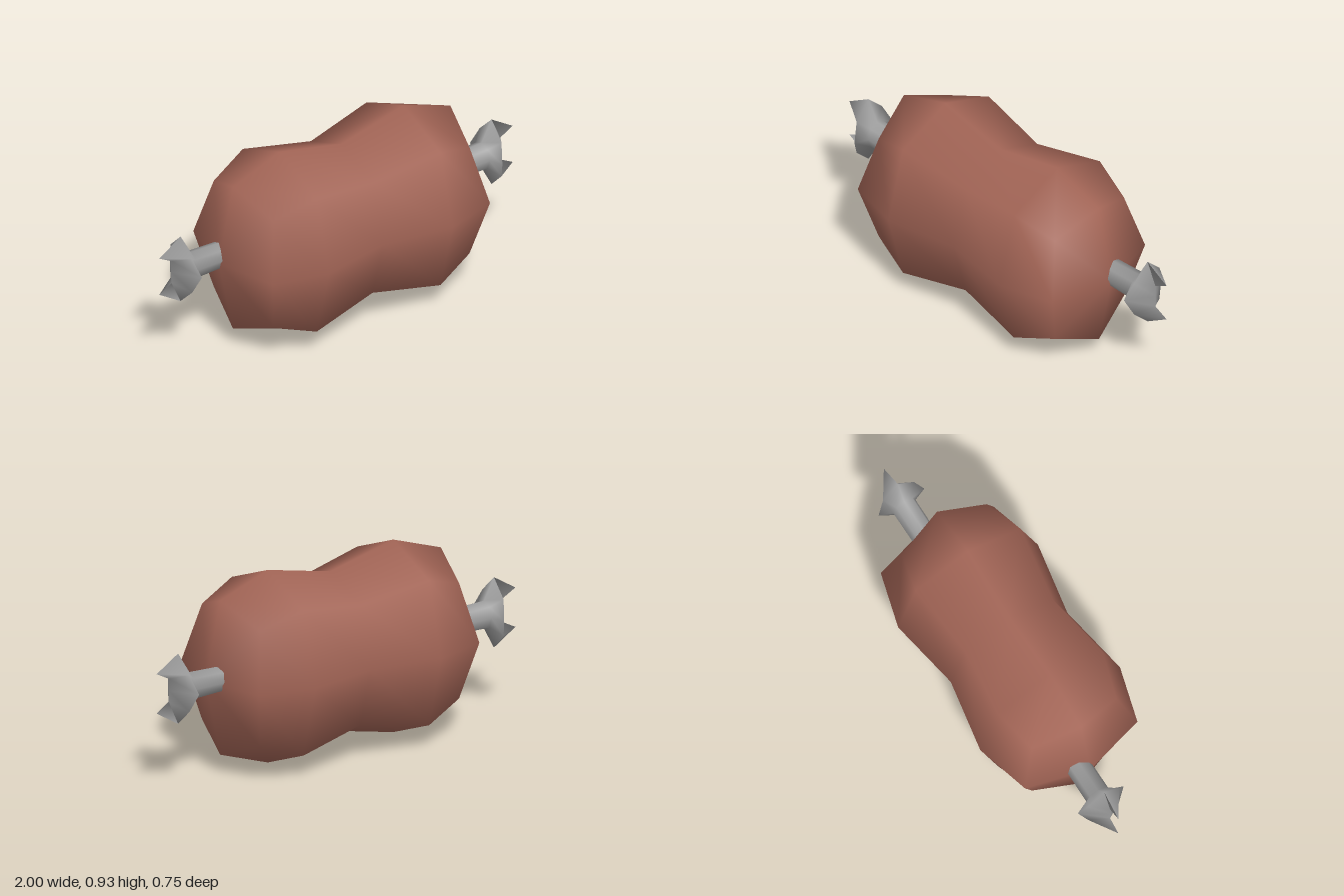
import * as THREE from 'three';
import { mergeVertices } from 'three/addons/utils/BufferGeometryUtils.js';

// Eight-sided ring around the x axis: top [x, y], diagonal [x, y, z], side [x, z]
function ring([tx, ty], [dx, dy, dz], [sx, sz]) {
  return [
    [tx, ty, 0], [dx, dy, dz], [sx, 0, sz], [dx, -dy, dz],
    [tx, -ty, 0], [dx, -dy, -dz], [sx, 0, -sz], [dx, dy, -dz],
  ];
}

const evenRing = (x, ry, rz, diagonal = 0.75, diagonalX = x) =>
  ring([x, ry], [diagonalX, ry * diagonal, rz * diagonal], [x, rz]);

// Adds the mirrored half so that the rings run from -x to +x
function mirrored(half, middle = []) {
  const other = half.map((r) => r.map(([x, y, z]) => [-x, y, z])).reverse();
  return [...other, ...middle, ...half];
}

// Smooth skin over a sequence of rings
function loft(rings) {
  const index = [];
  for (let i = 0; i < rings.length - 1; i++) {
    for (let k = 0; k < 8; k++) {
      const n = (k + 1) % 8;
      const a = i * 8 + k, b = i * 8 + n, c = b + 8, d = a + 8;
      index.push(a, b, c, a, c, d);
    }
  }
  const geometry = new THREE.BufferGeometry();
  geometry.setAttribute('position', new THREE.Float32BufferAttribute(rings.flat(2), 3));
  geometry.setIndex(index);
  const merged = mergeVertices(geometry, 1e-4);
  merged.computeVertexNormals();
  return merged;
}

export function createModel() {
  const group = new THREE.Group();
  const meat = new THREE.MeshStandardMaterial({ color: 0xa36556 });
  meat.name = 'meat brown';
  const grey = new THREE.MeshStandardMaterial({ color: 0x9c9c9c });
  grey.name = 'bone grey';

  // Waisted chunk of meat with blunt pointed ends
  const body = new THREE.Mesh(loft(mirrored([
    evenRing(0.35, 0.465, 0.375),
    evenRing(0.615, 0.372, 0.302, 0.75, 0.555),
    evenRing(0.695, 0, 0),
  ], [evenRing(0, 0.385, 0.313)])), meat);
  body.name = 'meat';
  body.position.y = 0.465;
  group.add(body);

  // Bone through the meat, with a two-knobbed head at each end
  const bone = new THREE.Mesh(loft(mirrored([
    evenRing(0.6, 0.058, 0.058, 0.72),
    evenRing(0.825, 0.068, 0.06, 0.72),
    ring([0.88, 0.17], [0.875, 0.088, 0.083], [0.85, 0.123]),
    ring([1.0, 0.095], [0.93, 0.058, 0], [0.93, 0]),
  ])), grey);
  bone.name = 'bone';
  bone.position.set(0, 0.48, -0.043);
  group.add(bone);

  return group;
}
